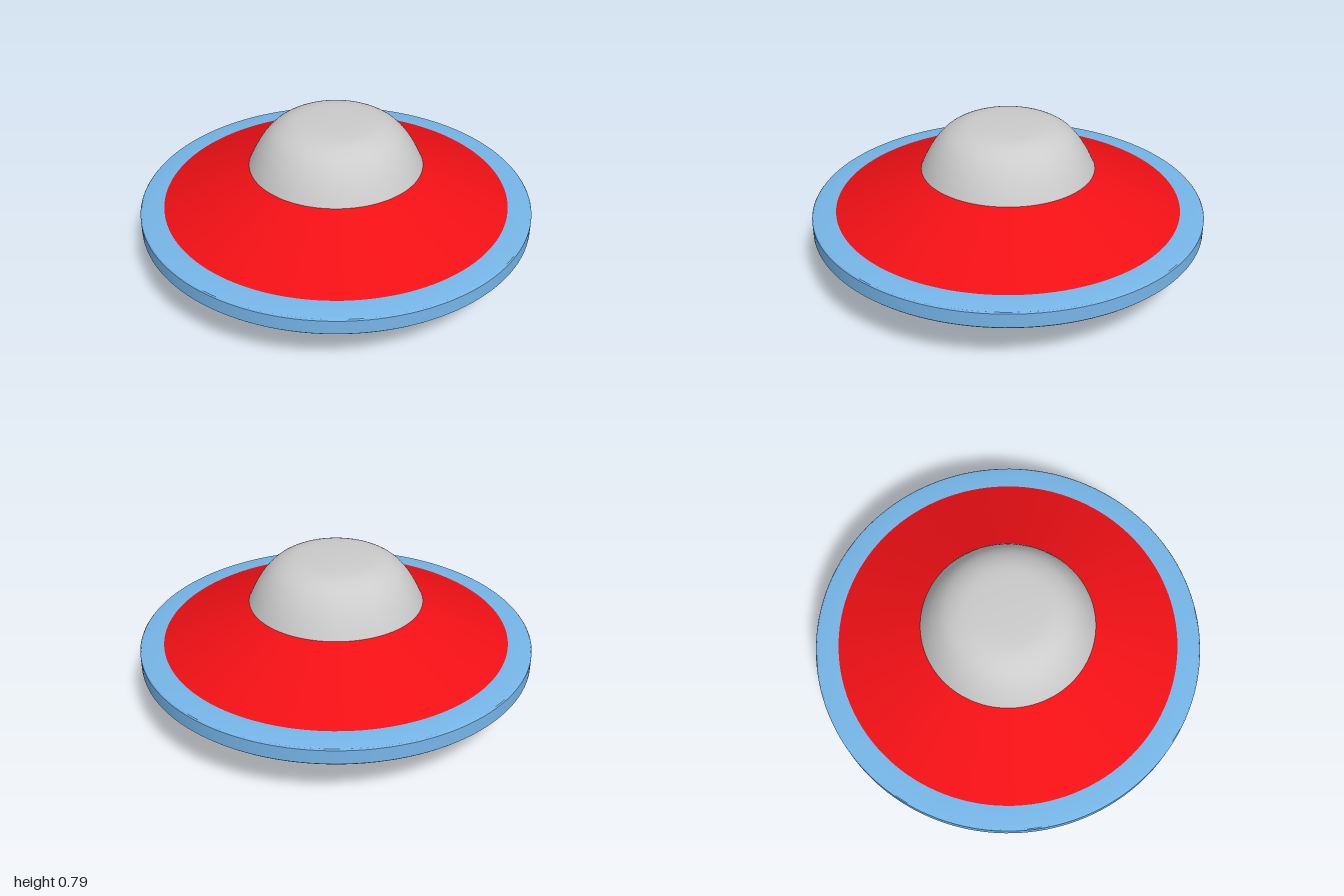
import * as THREE from 'three';
import { toCreasedNormals } from 'three/addons/utils/BufferGeometryUtils.js';

const SEGMENTS = 128;

// Revolves a [radius, height] profile, listed from bottom to top
function turned(name, profile, color) {
  const points = profile.map(([r, y]) => new THREE.Vector2(r, y));
  const geometry = toCreasedNormals(new THREE.LatheGeometry(points, SEGMENTS), 0.5);
  const material = new THREE.MeshStandardMaterial({ color, side: THREE.DoubleSide });
  const mesh = new THREE.Mesh(geometry, material);
  mesh.name = name;
  return mesh;
}

export function createModel() {
  const red = 0xf01015, blue = 0x76b6e8, grey = 0xcccccc;
  const saucer = new THREE.Group();
  saucer.name = 'flyingSaucer';

  // Flat-bottomed bowl flaring into the shallow underside
  saucer.add(turned('lowerHull', [
    [0, 0], [0.415, 0], [0.44, 0.005], [0.46, 0.02], [0.51, 0.075],
    [0.555, 0.13], [0.585, 0.178], [0.595, 0.19], [0.61, 0.197], [0.72, 0.218], [0.86, 0.24],
  ], red));

  // Rim band with softened edges
  saucer.add(turned('rim', [
    [0.86, 0.24], [0.98, 0.254], [0.993, 0.257], [1, 0.264],
    [1, 0.335], [0.995, 0.341], [0.985, 0.344], [0.88, 0.351],
  ], blue));

  // Conical upper deck
  saucer.add(turned('upperHull', [[0.88, 0.351], [0.44, 0.546]], red));

  // Flattened cockpit dome, rounded at the shoulder
  const shoulder = new THREE.SplineCurve([
    [0.44, 0.546], [0.41, 0.608], [0.37, 0.672], [0.315, 0.73],
    [0.24, 0.768], [0.15, 0.781], [0, 0.785],
  ].map(([r, y]) => new THREE.Vector2(r, y)));
  const domeProfile = shoulder.getPoints(24).map((p) => [Math.max(p.x, 0), p.y]);
  saucer.add(turned('dome', domeProfile, grey));

  return saucer;
}
